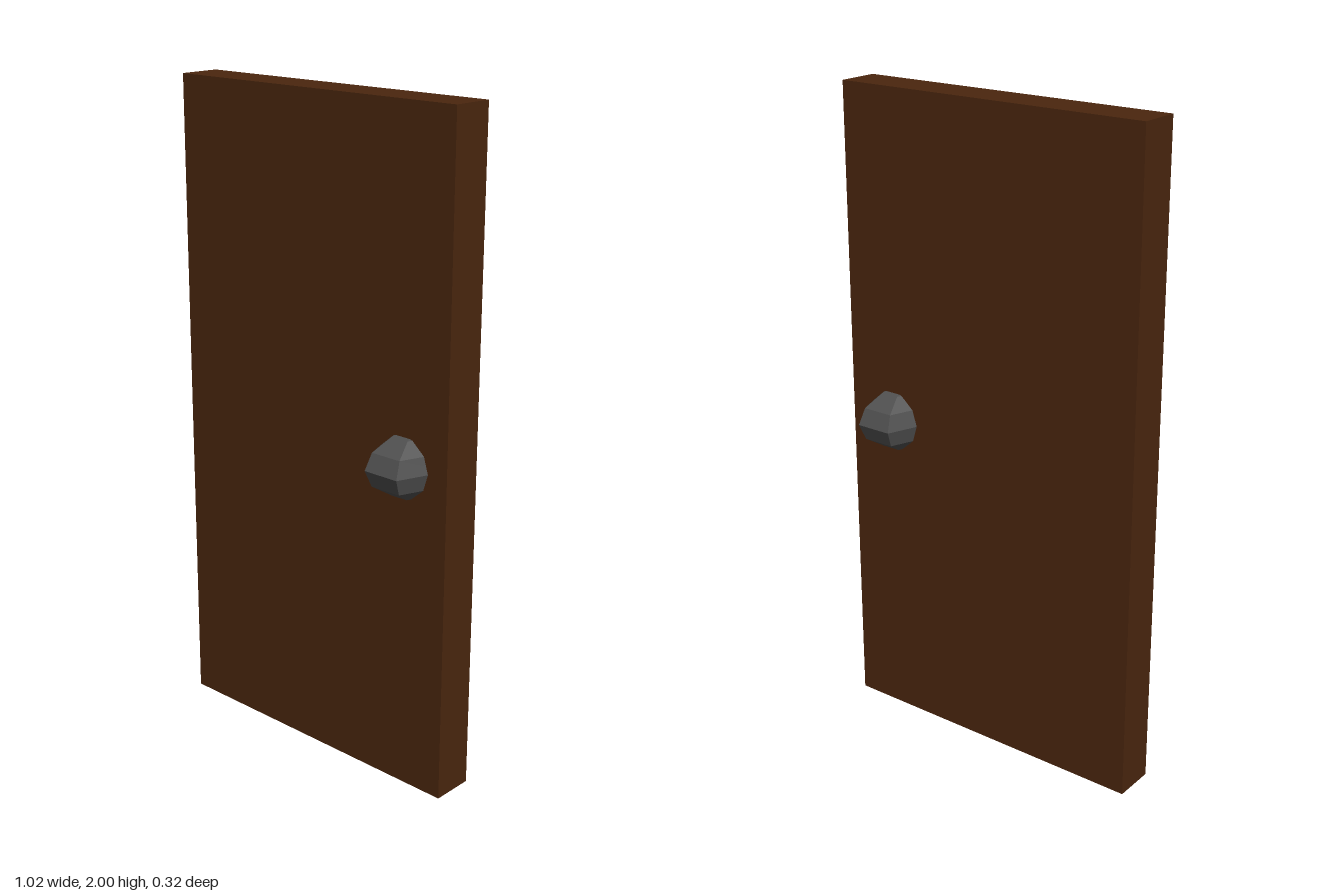
import * as THREE from 'three';

export function createModel() {
  const model = new THREE.Group();
  const add = (name, geometry, color) => {
    const material = new THREE.MeshStandardMaterial({ color, flatShading: true });
    const mesh = new THREE.Mesh(geometry, material);
    mesh.name = name;
    model.add(mesh);
    return mesh;
  };

  // Plain slab
  add('doorPanel', new THREE.BoxGeometry(1.02, 2, 0.13), 0x4a260e).position.y = 1;

  // One stretched six-sided ball passes through the slab and forms both knobs
  const knob = add('doorKnob', new THREE.SphereGeometry(1, 6, 6), 0x505050);
  knob.scale.set(0.115, 0.1, 0.183);
  knob.position.set(0.352, 0.992, 0);

  return model;
}
